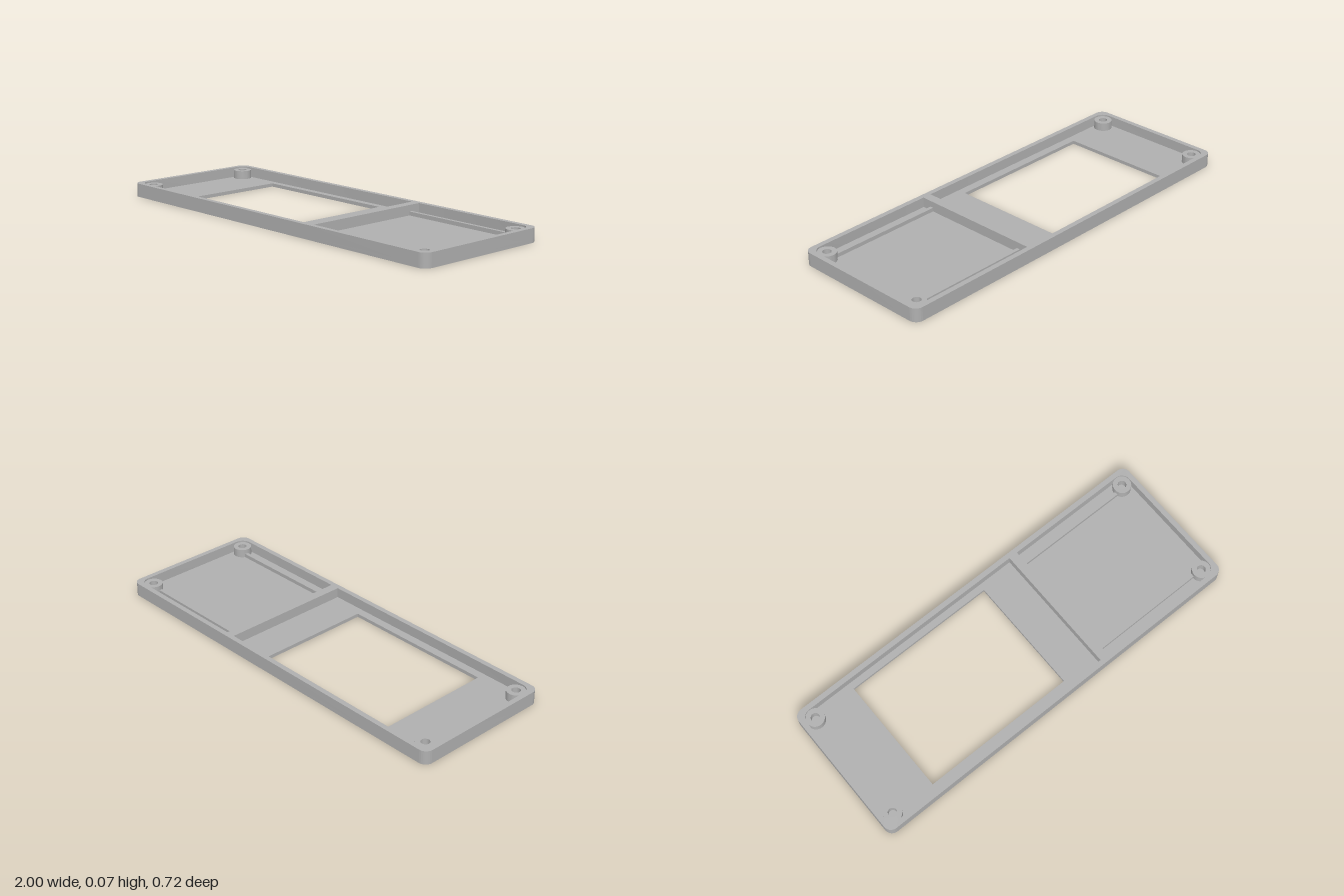
import * as THREE from 'three';
import { toCreasedNormals } from 'three/addons/utils/BufferGeometryUtils.js';

const HALF_X = 1, HALF_Z = 0.358, HEIGHT = 0.067;
const FLOOR = 0.017, GROOVE = 0.004;
const BOSS_X = 0.93, BOSS_Z = 0.288, BOSS_R = 0.045;

// Rectangle outline with separate corner radii for its -x and +x ends
function rect(path, x0, x1, y0, y1, rl = 0, rr = 0) {
  path.moveTo(x0 + rl, y0);
  path.lineTo(x1 - rr, y0);
  if (rr) path.absarc(x1 - rr, y0 + rr, rr, -Math.PI / 2, 0, false);
  path.lineTo(x1, y1 - rr);
  if (rr) path.absarc(x1 - rr, y1 - rr, rr, 0, Math.PI / 2, false);
  path.lineTo(x0 + rl, y1);
  if (rl) path.absarc(x0 + rl, y1 - rl, rl, Math.PI / 2, Math.PI, false);
  path.lineTo(x0, y0 + rl);
  if (rl) path.absarc(x0 + rl, y0 + rl, rl, Math.PI, Math.PI * 1.5, false);
  return path;
}

function circle(path, x, y, r) {
  path.absarc(x, y, r, 0, Math.PI * 2, false);
  return path;
}

export function createModel() {
  const group = new THREE.Group();
  const grey = new THREE.MeshStandardMaterial({ color: 0xb0b0b0 });
  grey.name = 'grey';

  // Extrude a plan shape upwards from y0 to y1
  function slab(name, shape, holes, y0, y1) {
    shape.holes.push(...holes);
    const geo = new THREE.ExtrudeGeometry(shape, { depth: y1 - y0, bevelEnabled: false, curveSegments: 16 });
    geo.rotateX(-Math.PI / 2).translate(0, y0, 0);
    const mesh = new THREE.Mesh(toCreasedNormals(geo, 0.6), grey);
    mesh.name = name;
    group.add(mesh);
  }

  const outline = () => rect(new THREE.Shape(), -HALF_X, HALF_X, -HALF_Z, HALF_Z, 0.04, 0.04);
  const windowHole = () => rect(new THREE.Path(), -0.705, 0.075, -0.292, 0.3);
  const ringX = 0.61, ringOuter = 0.2, ringInner = 0.187;

  // Floor, with a shallow ring groove on the underside
  slab('underside', outline(), [windowHole(), circle(new THREE.Path(), ringX, 0, ringOuter)], 0, GROOVE);
  slab('ringDisc', circle(new THREE.Shape(), ringX, 0, ringInner), [], 0, GROOVE);
  slab('floor', outline(), [windowHole()], GROOVE, FLOOR);

  // Outer walls and divider, left around the two pockets
  const px = BOSS_X + BOSS_R, pz = BOSS_Z + BOSS_R;
  slab('walls', outline(), [
    rect(new THREE.Path(), -px, 0.26, -pz, pz, BOSS_R, 0),
    rect(new THREE.Path(), 0.305, px, -pz, pz, 0, BOSS_R),
  ], FLOOR, HEIGHT);

  for (const sz of [-1, 1]) {
    // Screw bosses in the corners
    for (const sx of [-1, 1]) {
      slab('screwBoss', circle(new THREE.Shape(), sx * BOSS_X, sz * BOSS_Z, BOSS_R),
        [circle(new THREE.Path(), sx * BOSS_X, sz * BOSS_Z, 0.021)], FLOOR, 0.059);
    }
    // Low ribs along the small pocket
    const a = sz * 0.27, b = sz * 0.287;
    slab('rib', rect(new THREE.Shape(), 0.305, BOSS_X - 0.03, Math.min(a, b), Math.max(a, b)), [], FLOOR, 0.036);
  }
  return group;
}
